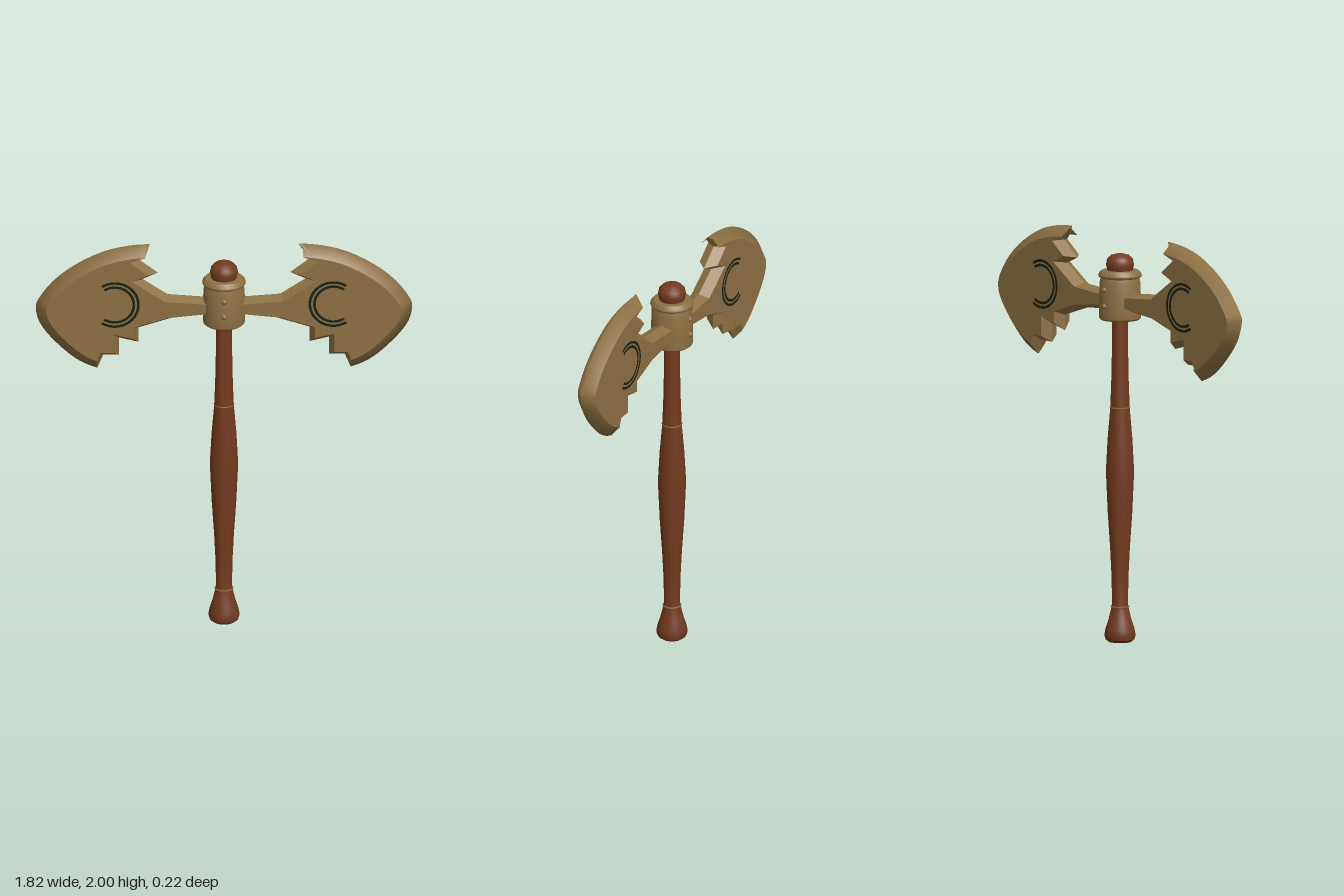
import * as THREE from 'three';
import { toCreasedNormals } from 'three/addons/utils/BufferGeometryUtils.js';

const V2 = (x, y) => new THREE.Vector2(x, y);
const bronze = new THREE.MeshStandardMaterial({ name: 'bronze', color: 0x8d7143 });
const wood = new THREE.MeshStandardMaterial({ name: 'wood', color: 0x723b20 });
const engraving = new THREE.MeshStandardMaterial({ name: 'dark engraving', color: 0x1a2216 });

function add(parent, name, geometry, material, x = 0, y = 0, z = 0) {
  const mesh = new THREE.Mesh(geometry, material);
  mesh.name = name;
  mesh.position.set(x, y, z);
  parent.add(mesh);
  return mesh;
}

function lathe(profile, segments = 32) {
  const geo = new THREE.LatheGeometry(profile.map(([r, y]) => V2(r, y)), segments);
  return toCreasedNormals(geo, 0.6);
}

// Blade outline, counter-clockwise; each point carries the bevel width of the edge that follows it
const ARC_STEPS = 33;
function bladeOutline() {
  const arc = new THREE.SplineCurve([
    [0.614, 1.345], [0.68, 1.372], [0.75, 1.42], [0.84, 1.51], [0.895, 1.59], [0.912, 1.665],
    [0.897, 1.715], [0.83, 1.805], [0.725, 1.89], [0.59, 1.96], [0.46, 1.992], [0.36, 2.0],
  ].map(([x, y]) => V2(x, y))).getPoints(ARC_STEPS);
  const outer = arc.map((p, i) => [p.x, p.y, i < ARC_STEPS ? 0.052 : 0.025]);
  const broken = [
    [0.42, 1.925, 0.025], [0.32, 1.848, 0.025], [0.395, 1.815, 0.025], [0.27, 1.732, 0.02],
    [0.08, 1.717, 0], [0.08, 1.628, 0.02], [0.25, 1.61, 0.025], [0.415, 1.558, 0.025],
    [0.415, 1.482, 0.03], [0.51, 1.505, 0.025], [0.51, 1.415, 0.03], [0.585, 1.415, 0.025],
  ];
  return [...outer, ...broken];
}

// Flat blade body and cutting edge; all sides taper to a ridge on the middle plane
function bladeGeometries(halfThickness) {
  const pts = bladeOutline();
  const n = pts.length;
  const edges = pts.map(([x, y, w], i) => {
    const [x2, y2] = pts[(i + 1) % n];
    const l = Math.hypot(x2 - x, y2 - y);
    const nx = -(y2 - y) / l, ny = (x2 - x) / l;
    return { nx, ny, c: nx * x + ny * y + w };
  });
  // Inset corner = crossing of the two shifted edges
  const inset = edges.map((b, i) => {
    const a = edges[(i + n - 1) % n];
    const det = a.nx * b.ny - a.ny * b.nx;
    if (Math.abs(det) < 1e-4) {
      const w = pts[i][2];
      return V2(pts[i][0] + b.nx * w, pts[i][1] + b.ny * w);
    }
    return V2((a.c * b.ny - b.c * a.ny) / det, (a.nx * b.c - b.nx * a.c) / det);
  });
  const position = [], body = [], cutting = [];
  pts.forEach(([x, y]) => position.push(x, y, 0));
  for (const s of [1, -1]) inset.forEach((p) => position.push(p.x, p.y, s * halfThickness));
  for (const [a, b, c] of THREE.ShapeUtils.triangulateShape(inset, [])) {
    body.push(n + a, n + b, n + c, 2 * n + a, 2 * n + c, 2 * n + b);
  }
  for (let i = 0; i < n; i++) {
    const j = (i + 1) % n;
    const list = i < ARC_STEPS ? cutting : body;
    list.push(i, j, n + j, i, n + j, n + i);
    list.push(j, i, 2 * n + i, j, 2 * n + i, 2 * n + j);
  }
  const build = (index, crease) => {
    const geo = new THREE.BufferGeometry();
    geo.setAttribute('position', new THREE.Float32BufferAttribute(position, 3));
    geo.setIndex(index);
    return toCreasedNormals(geo, crease);
  };
  return { body: build(body, 0.45), cutting: build(cutting, 1.8) };
}

export function createModel() {
  const model = new THREE.Group();
  model.name = 'doubleAxe';

  // Turned handle with flared pommel
  add(model, 'handle', lathe([
    [0, 0], [0.055, 0.003], [0.07, 0.015], [0.076, 0.035], [0.071, 0.065], [0.055, 0.115],
    [0.043, 0.165], [0.039, 0.19], [0.041, 0.32], [0.048, 0.46], [0.06, 0.64], [0.067, 0.8],
    [0.067, 0.87], [0.06, 1.0], [0.048, 1.14], [0.043, 1.26], [0.04, 1.4], [0.039, 1.62],
  ]), wood);
  add(model, 'topKnob', lathe([
    [0.05, 1.79], [0.062, 1.822], [0.068, 1.85], [0.063, 1.876], [0.045, 1.895], [0.02, 1.902], [0, 1.903],
  ]), wood);

  // Thin metal bands around the handle
  for (const [y, r] of [[0.175, 0.042], [1.15, 0.046]]) {
    add(model, 'handleBand', new THREE.TorusGeometry(r, 0.004, 6, 32), bronze, 0, y).rotation.x = Math.PI / 2;
  }

  // Collar holding the blades
  add(model, 'collar', lathe([
    [0.036, 1.58], [0.092, 1.58], [0.101, 1.588], [0.103, 1.61], [0.1, 1.76], [0.094, 1.785],
    [0.103, 1.79], [0.106, 1.798], [0.103, 1.808], [0.09, 1.822], [0.05, 1.822],
  ]), bronze);
  for (const side of [1, -1]) {
    for (const y of [1.733, 1.653]) {
      add(model, 'rivet', new THREE.SphereGeometry(0.014, 12, 8), bronze, 0, y, side * 0.098);
    }
  }

  // Two matching blades, each with an engraved crescent on both faces
  const { body, cutting } = bladeGeometries(0.049);
  const start = THREE.MathUtils.degToRad(57), sweep = THREE.MathUtils.degToRad(246);
  const lines = [[0.108, 0.121], [0.086, 0.099]].map(
    ([inner, outer]) => new THREE.RingGeometry(inner, outer, 40, 1, start, sweep));
  for (const name of ['leftBlade', 'rightBlade']) {
    const group = new THREE.Group();
    group.name = name;
    add(group, 'bladeBody', body, bronze);
    add(group, 'cuttingEdge', cutting, bronze);
    for (const line of lines) {
      add(group, 'crescentFront', line, engraving, 0.53, 1.7, 0.052);
      add(group, 'crescentBack', line, engraving, 0.53, 1.7, -0.052).rotation.x = Math.PI;
    }
    if (name === 'rightBlade') group.rotation.y = Math.PI;
    model.add(group);
  }
  return model;
}
